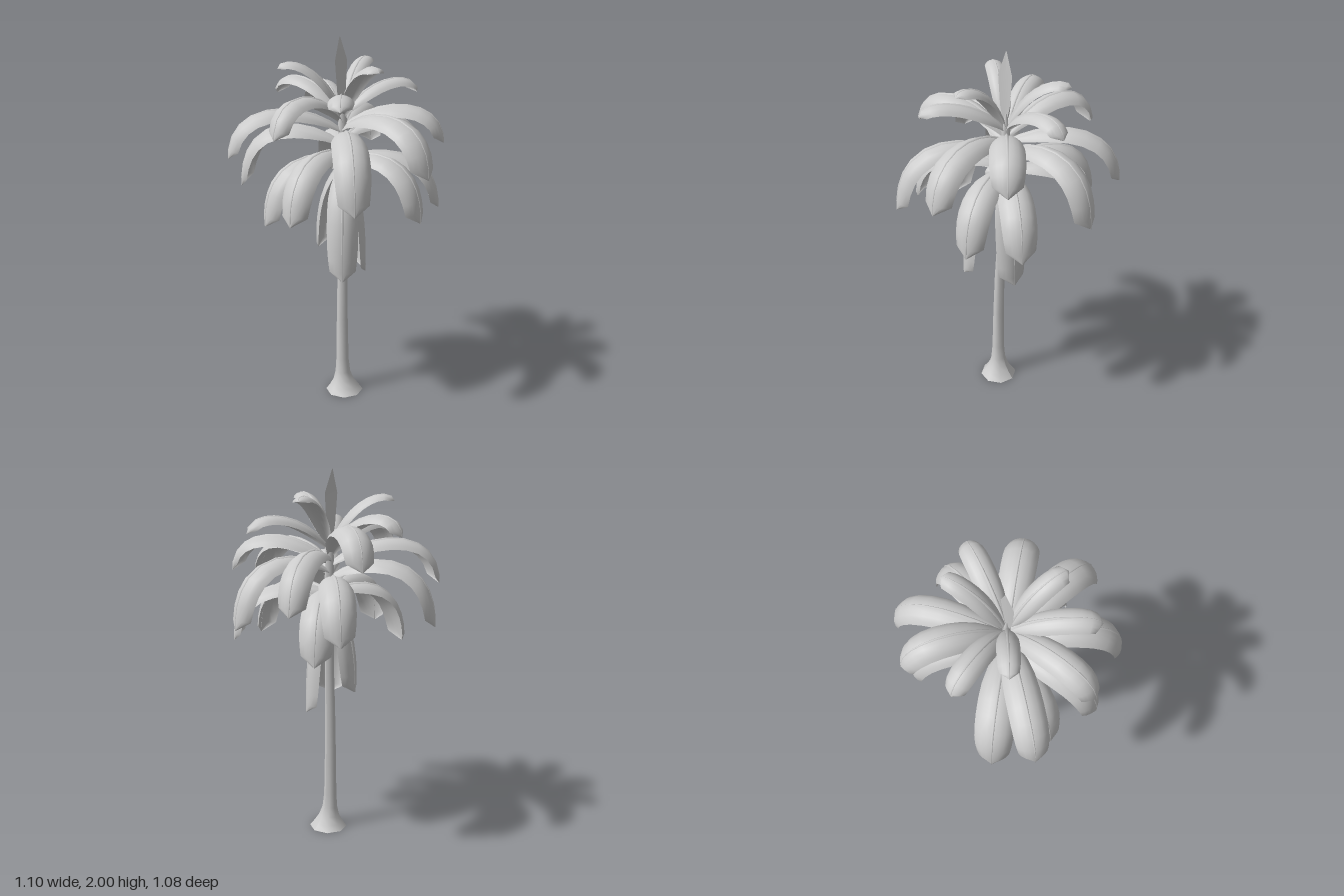
import * as THREE from 'three';

const material = new THREE.MeshStandardMaterial({ color: 0xcccccc, side: THREE.DoubleSide });
const CROWN = { x: -0.02, z: -0.065 };

// Smooth surface through equal-length cross-sections (arrays of Vector3)
function loft(name, sections) {
  const n = sections[0].length, index = [];
  for (let i = 0; i < sections.length - 1; i++) {
    for (let j = 0; j < n - 1; j++) {
      const a = i * n + j, b = a + n;
      index.push(a, a + 1, b, a + 1, b + 1, b);
    }
  }
  const geometry = new THREE.BufferGeometry().setFromPoints(sections.flat());
  geometry.setIndex(index);
  geometry.computeVertexNormals();
  const mesh = new THREE.Mesh(geometry, material);
  mesh.name = name;
  return mesh;
}

// Width from root to shoulder: [fraction of the way, fraction of full width]
const OUTLINE = [[0, 0.22], [0.1, 0.5], [0.22, 0.77], [0.34, 0.92], [0.46, 0.98], [0.58, 1],
  [0.7, 1], [0.8, 0.98], [0.9, 0.93], [1, 0.84]];
const FOLD = 1.2;

// One drooping frond: arched blade with a blunt pointed tip, plus a raised midrib
function makeFrond([x, y, z, peak, root, half]) {
  const dx = x - CROWN.x, dz = z - CROWN.z, r = Math.hypot(dx, dz);
  const out = new THREE.Vector3(dx / r, 0, dz / r);
  const side = new THREE.Vector3(out.z, 0, -out.x);
  const at = (d, h) => new THREE.Vector3(CROWN.x, h, CROWN.z).addScaledVector(out, d);
  const high = (8 * peak - root - y) / 6;
  const curve = new THREE.CubicBezierCurve3(at(0.01, root), at(r * 0.35, high), at(r, high), at(r, y));
  const shoulder = 1 - 0.55 * half / curve.getLength();
  const blade = [], rib = [];
  for (const [t, w] of [...OUTLINE.map(([u, w]) => [u * shoulder, w]), [1, 0.03]]) {
    const p = curve.getPointAt(t);
    const normal = curve.getTangentAt(t).cross(side).normalize();
    const section = [];
    for (let j = -4; j <= 4; j++) {
      const a = (j / 4) * FOLD;
      section.push(p.clone()
        .addScaledVector(side, half * w * Math.sin(a) / Math.sin(FOLD))
        .addScaledVector(normal, -half * w * 0.6 * (1 - Math.cos(a)) / (1 - Math.cos(FOLD))));
    }
    blade.push(section);
    const s = 0.01 * (1 - 0.8 * t);
    rib.push([[-s, -0.001], [0, s], [s, -0.001]].map(([u, v]) =>
      p.clone().addScaledVector(side, u).addScaledVector(normal, v)));
  }
  const frond = new THREE.Group();
  frond.name = 'frond';
  frond.add(loft('blade', blade), loft('midrib', rib));
  return frond;
}

// Each frond: tip x, y, z, height of the arc, root height, half width
const FRONDS = [
  // young top fronds
  [-0.27, 1.84, -0.28, 1.86, 1.62, 0.053],
  [0.29, 1.85, -0.18, 1.86, 1.62, 0.053],
  [-0.08, 1.85, 0.26, 1.86, 1.62, 0.058],
  // upper ring
  [-0.11, 1.68, -0.49, 1.78, 1.6, 0.064],
  [0.41, 1.69, 0.07, 1.77, 1.6, 0.064],
  [-0.33, 1.69, 0.25, 1.75, 1.6, 0.066],
  // broad middle ring
  [-0.54, 1.55, 0.01, 1.73, 1.57, 0.075],
  [0.495, 1.34, -0.36, 1.61, 1.53, 0.082],
  [0.2, 1.54, -0.54, 1.74, 1.57, 0.082],
  [-0.54, 1.4, -0.37, 1.64, 1.52, 0.085],
  [-0.015, 1.36, 0.535, 1.63, 1.53, 0.094],
  [0.3, 1.47, 0.36, 1.66, 1.54, 0.088],
  // lower ring
  [0.545, 1.23, 0, 1.56, 1.48, 0.09],
  [-0.38, 1.22, 0.4, 1.55, 1.47, 0.09],
  [-0.37, 1.2, -0.5, 1.53, 1.45, 0.095],
  [0.27, 1.18, -0.47, 1.47, 1.42, 0.088],
  [-0.52, 1.13, 0.09, 1.43, 1.39, 0.088],
  [-0.465, 1.06, -0.18, 1.38, 1.37, 0.09],
  [0.345, 1.1, 0.3, 1.39, 1.37, 0.09],
  [0.08, 1.09, 0.41, 1.4, 1.37, 0.09],
  [0.35, 1.08, -0.37, 1.39, 1.37, 0.09],
  // old hanging fronds
  [0.09, 0.71, 0.0, 1.18, 1.36, 0.087],
  [-0.185, 0.75, 0.105, 1.2, 1.36, 0.083],
  [-0.07, 0.84, -0.215, 1.21, 1.36, 0.08],
];

// Trunk rings: height, centre x, centre z, radius
const TRUNK = [
  [0, -0.047, -0.03, 0.105], [0.03, -0.048, -0.031, 0.082], [0.07, -0.05, -0.033, 0.057],
  [0.12, -0.053, -0.036, 0.042], [0.2, -0.054, -0.038, 0.035], [0.45, -0.052, -0.04, 0.031],
  [0.7, -0.046, -0.043, 0.028], [0.95, -0.035, -0.048, 0.025], [1.2, -0.026, -0.055, 0.024],
  [1.45, -0.021, -0.062, 0.025], [1.6, -0.02, -0.065, 0.022], [1.68, -0.02, -0.065, 0.004],
];

// Upright leaf rows: height, half width, z
const SPEAR = [[1.62, 0.006, -0.066], [1.72, 0.03, -0.067], [1.88, 0.043, -0.07], [2, 0.002, -0.075]];

export function createModel() {
  const palm = new THREE.Group();
  palm.name = 'palmTree';

  // Leaning trunk with a flared, open foot
  palm.add(loft('trunk', TRUNK.map(([y, x, z, r]) => {
    const ring = [];
    for (let j = 0; j <= 8; j++) {
      const a = -(j / 8) * Math.PI * 2;
      ring.push(new THREE.Vector3(x + r * Math.cos(a), y, z + r * Math.sin(a)));
    }
    return ring;
  })));

  // Crown of fronds around one upright young leaf
  const crown = new THREE.Group();
  crown.name = 'crown';
  for (const f of FRONDS) crown.add(makeFrond(f));
  crown.add(loft('spearLeaf', SPEAR.map(([y, w, z]) => [-1, 0, 1].map((s) =>
    new THREE.Vector3(-0.027 + s * w, y, z + Math.abs(s) * w * 0.1)))));
  palm.add(crown);

  // Fruit cluster under the crown
  for (const [x, y, z] of [[-0.085, 1.35, -0.02], [-0.05, 1.34, 0.02], [0.03, 1.35, -0.01]]) {
    const fruit = new THREE.Mesh(new THREE.SphereGeometry(0.032, 10, 8), material);
    fruit.name = 'fruit';
    fruit.position.set(x, y, z);
    palm.add(fruit);
  }
  return palm;
}
